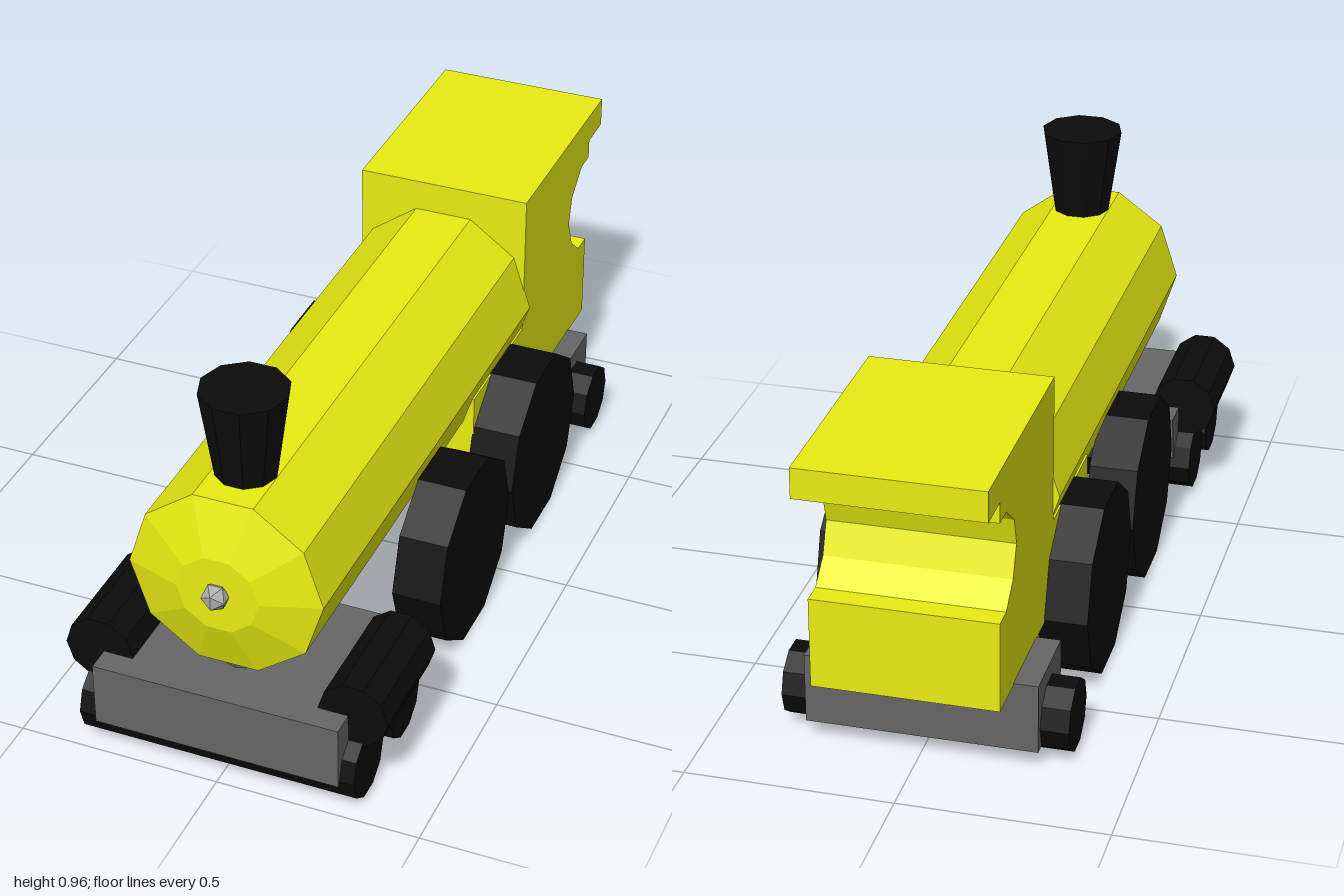
import * as THREE from 'three';

const paint = (color) => new THREE.MeshStandardMaterial({ color, flatShading: true });

export function createModel() {
  const loco = new THREE.Group();
  loco.name = 'steamLocomotive';
  const yellow = paint(0xe8ec10), black = paint(0x0c0c0c), iron = paint(0x666666), silver = paint(0xaaaaaa);

  function add(name, geometry, material, x = 0, y = 0, z = 0) {
    const mesh = new THREE.Mesh(geometry, material);
    mesh.name = name;
    mesh.position.set(x, y, z);
    loco.add(mesh);
    return mesh;
  }

  // Ten-sided cylinder lying across the model
  const roller = (radius, width) => new THREE.CylinderGeometry(radius, radius, width, 10).rotateZ(Math.PI / 2);

  // Side profile of [z, y] points, extruded symmetrically across x
  function slab(points, width) {
    const shape = new THREE.Shape(points.map(([z, y]) => new THREE.Vector2(z, y)));
    return new THREE.ExtrudeGeometry(shape, { depth: width, bevelEnabled: false })
      .translate(0, 0, -width / 2)
      .rotateY(-Math.PI / 2);
  }

  // Boiler with bevelled nose
  const profile = [[0, -0.42], [0.237, -0.42], [0.237, 0.915], [0.1, 0.96], [0, 0.96]];
  const boiler = new THREE.LatheGeometry(profile.map(([r, h]) => new THREE.Vector2(r, h)), 10)
    .rotateY(Math.PI / 2)
    .rotateX(Math.PI / 2);
  add('boiler', boiler, yellow, 0, 0.515, 0);
  add('noseKnob', new THREE.IcosahedronGeometry(0.034, 0), silver, 0, 0.517, 0.968);

  // Chimney
  add('chimney', new THREE.CylinderGeometry(0.105, 0.073, 0.22, 10).rotateY(Math.PI / 2), black, 0, 0.85, 0.787);

  // Cab with firebox step in front, scooped opening and roof overhang behind
  add('cab', slab([
    [-0.065, 0.22], [-0.065, 0.45], [-0.415, 0.45], [-0.415, 0.82],
    [-1, 0.82], [-1, 0.745], [-0.905, 0.745], [-0.905, 0.695],
    [-0.85, 0.695], [-0.78, 0.64], [-0.76, 0.57], [-0.79, 0.495],
    [-0.85, 0.445], [-0.905, 0.445], [-0.905, 0.22],
  ], 0.442), yellow);

  // Front truck: bed, pivot and rollers
  add('frontTruck', slab([[1, 0.25], [1, 0.088], [0.75, 0.088], [0.59, 0.13], [0.572, 0.25]], 0.608), iron);
  add('truckPivot', new THREE.CylinderGeometry(0.09, 0.09, 0.12, 10), iron, 0, 0.29, 0.79);
  for (const z of [0.907, 0.683]) add('frontRoller', roller(0.088, 0.686), black, -0.004, 0.1, z);

  // Rear truck
  add('rearTruck', new THREE.BoxGeometry(0.555, 0.175, 0.215), iron, -0.002, 0.1375, -0.68);
  add('rearRoller', roller(0.088, 0.686), black, -0.004, 0.1, -0.683);

  // Steam cylinders and driving wheels on both sides
  for (const side of [-1, 1]) {
    const piston = new THREE.CylinderGeometry(0.085, 0.085, 0.29, 10).rotateY(Math.PI / 2).rotateX(Math.PI / 2);
    add('steamCylinder', piston, black, side * 0.315, 0.252, 0.795);
    for (const z of [0.228, -0.262]) add('driveWheel', roller(0.236, 0.122), black, 0.0075 + side * 0.271, 0.2275, z);
  }

  // Stand the lowest wheels on the ground
  loco.position.y = -0.003;
  return loco;
}
